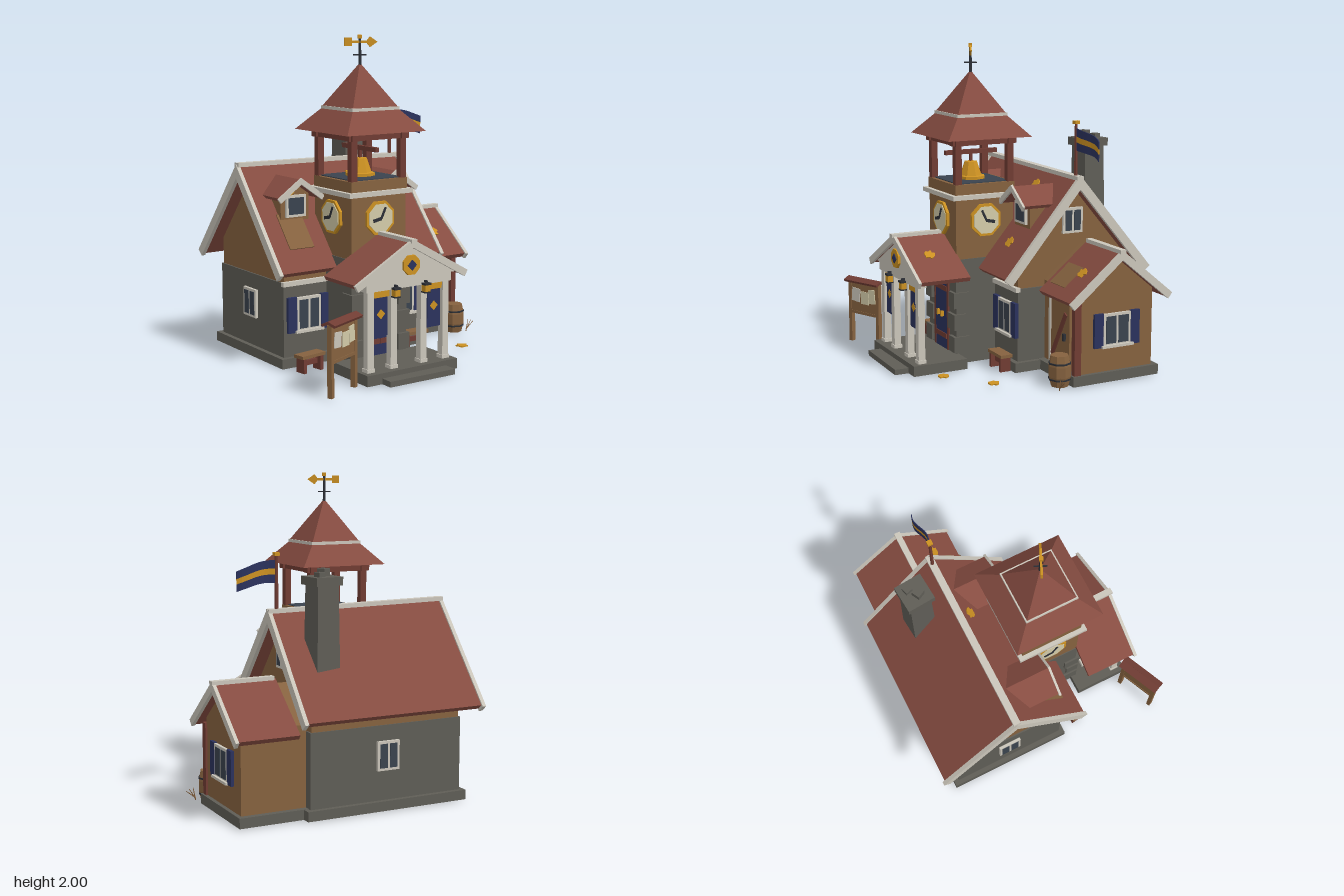
import * as THREE from 'three';

const mat = (name, color) => { const m = new THREE.MeshStandardMaterial({ color }); m.name = name; return m; };

export function createModel() {
  const root = new THREE.Group();
  root.name = 'townHall';
  const M = {
    roof: mat('roofTile', 0x864c41), timber: mat('redTimber', 0x703c33), trim: mat('paleTrim', 0xcbc6bb),
    stone: mat('stone', 0x5f5d56), wood: mat('brownWood', 0x86623f), gold: mat('gold', 0xcc9122),
    navy: mat('navy', 0x2b325d), glass: mat('darkGlass', 0x3a434e), iron: mat('iron', 0x2c2f36), cream: mat('cream', 0xd3cba9),
  };

  // ---- helpers ----
  const add = (name, geo, m, x = 0, y = 0, z = 0, parent = root) => {
    if (geo.index) geo = geo.toNonIndexed();
    geo.computeVertexNormals();
    const mesh = new THREE.Mesh(geo, m);
    mesh.name = name;
    mesh.position.set(x, y, z);
    parent.add(mesh);
    return mesh;
  };
  const group = (name, x = 0, y = 0, z = 0, ry = 0, parent = root) => {
    const g = new THREE.Group();
    g.name = name;
    g.position.set(x, y, z);
    g.rotation.y = ry;
    parent.add(g);
    return g;
  };
  const box = (name, m, w, h, d, x, y, z, parent) => add(name, new THREE.BoxGeometry(w, h, d), m, x, y, z, parent);
  const cyl = (name, m, rt, rb, h, n, x, y, z, parent) => add(name, new THREE.CylinderGeometry(rt, rb, h, n), m, x, y, z, parent);
  const slab = (points, depth) => {
    const g = new THREE.ExtrudeGeometry(new THREE.Shape(points.map(p => new THREE.Vector2(...p))), { depth, bevelEnabled: false });
    return g.translate(0, 0, -depth / 2);
  };
  // Chevron roof section with its ridge along local z
  const chevron = (half, top, eave, p, depth) => {
    const r = top - eave, L = Math.hypot(half, r), ex = half - p * r / L, ey = eave - p * half / L;
    return slab([[-half, eave], [-ex, ey], [0, top - p * L / half], [ex, ey], [half, eave], [0, top]], depth);
  };
  // Square roof tier between two half widths
  const tier = (name, m, top, bottom, y0, y1, x, z) => {
    const g = new THREE.CylinderGeometry(top * Math.SQRT2, bottom * Math.SQRT2, y1 - y0, 4).rotateY(Math.PI / 4);
    return add(name, g, m, x, (y0 + y1) / 2, z);
  };
  const octagon = (r, d) => new THREE.CylinderGeometry(r, r, d, 8).rotateY(Math.PI / 8).rotateX(Math.PI / 2);
  // Framed window: pane count, optional shutters with a sill
  const window_ = (name, x, y, z, ry, w, h, panes, shutters) => {
    const g = group(name, x, y, z, ry), edge = 0.016, pitch = (w - edge) / panes;
    box('frame', M.trim, w, h, 0.026, 0, 0, 0, g);
    for (let i = 0; i < panes; i++) {
      box('pane', M.glass, pitch - edge, h - 2 * edge, 0.006, (i - (panes - 1) / 2) * pitch, 0, 0.013, g);
    }
    if (!shutters) return;
    for (const s of [-1, 1]) box('shutter', M.navy, 0.062, h + 0.01, 0.025, s * (w / 2 + 0.033), 0, 0.002, g);
    box('sill', M.trim, w + 0.03, 0.016, 0.045, 0, -h / 2, 0.006, g);
  };

  // ---- main hall ----
  const RZ = -0.29, HX = -0.185, Q = Math.PI / 2;
  box('hallPlinth', M.stone, 1.09, 0.06, 0.83, HX, 0.03, RZ);
  box('hallStoneWall', M.stone, 1.03, 0.48, 0.766, HX, 0.28, RZ);
  add('hallUpperWall', slab([[-0.376, 0.515], [0.376, 0.515], [0.376, 0.69], [0, 1.14], [-0.376, 0.69]], 1.01), M.wood, HX, 0, RZ).rotation.y = Q;
  box('hallBand', M.trim, 1.05, 0.028, 0.03, HX, 0.515, 0.095);
  add('hallRoof', chevron(0.5, 1.195, 0.605, 0.04, 1.19), M.roof, HX, 0, RZ).rotation.y = Q;
  for (const x of [-0.788, 0.415]) add('hallBargeboard', chevron(0.515, 1.21, 0.6, 0.055, 0.025), M.trim, x, 0, RZ).rotation.y = Q;
  box('hallRidge', M.trim, 1.22, 0.026, 0.045, HX, 1.2, RZ).rotation.z = -0.012;
  for (const x of [-0.53, 0.185]) window_('frontWindow', x, 0.32, 0.1, 0, 0.17, 0.21, 2, true);
  window_('backWindow', HX, 0.335, -0.678, Math.PI, 0.15, 0.18, 2, false);
  window_('leftWindow', -0.705, 0.335, RZ, -Q, 0.15, 0.18, 2, false);
  window_('gableWindow', 0.325, 0.92, RZ, Q, 0.14, 0.16, 2, false);

  // ---- side annex ----
  const AZ = -0.355;
  box('annexPlinth', M.stone, 0.45, 0.062, 0.6, 0.545, 0.031, AZ + 0.005);
  add('annexWall', slab([[-0.258, 0.06], [0.258, 0.06], [0.258, 0.56], [0, 0.77], [-0.258, 0.56]], 0.42), M.wood, 0.535, 0, AZ).rotation.y = Q;
  add('annexRoof', chevron(0.342, 0.8, 0.52, 0.035, 0.4), M.roof, 0.605, 0, AZ).rotation.y = Q;
  add('annexBargeboard', chevron(0.357, 0.81, 0.518, 0.045, 0.022), M.trim, 0.805, 0, AZ).rotation.y = Q;
  box('annexRidge', M.trim, 0.4, 0.024, 0.04, 0.62, 0.803, AZ);
  box('annexCornerPost', M.timber, 0.036, 0.46, 0.045, 0.74, 0.28, -0.085);
  box('annexDoorPost', M.trim, 0.022, 0.43, 0.03, 0.43, 0.275, -0.09);
  box('annexDoor', M.wood, 0.22, 0.41, 0.02, 0.553, 0.265, -0.09);
  box('annexDoorBrace', M.timber, 0.03, 0.33, 0.012, 0.545, 0.27, -0.077).rotation.z = -0.52;
  box('annexDoorHandle', M.iron, 0.018, 0.045, 0.02, 0.612, 0.265, -0.075);
  window_('annexWindow', 0.75, 0.32, AZ, Q, 0.19, 0.2, 2, true);

  // ---- dormers ----
  for (const x of [-0.545, 0.175]) {
    add('dormerBody', slab([[-0.1, 0.8], [0.1, 0.8], [0.1, 1.05], [0, 1.12], [-0.1, 1.05]], 0.22), M.wood, x, 0, -0.13);
    add('dormerRoof', chevron(0.15, 1.135, 1.03, 0.024, 0.29), M.roof, x, 0, -0.095);
    add('dormerBargeboard', chevron(0.165, 1.145, 1.028, 0.032, 0.015), M.trim, x, 0, 0.055);
    window_('dormerWindow', x, 0.967, -0.015, 0, 0.14, 0.135, 1, false);
  }

  // ---- chimney ----
  const chimney = group('chimney', 0.165, 0, -0.495, 0.08);
  const stack = cyl('stack', M.stone, 0.1, 0.115, 0.75, 4, 0, 1.02, 0, chimney);
  stack.rotation.y = Math.PI / 4;
  box('cap', M.stone, 0.18, 0.05, 0.18, 0, 1.385, 0, chimney);
  box('pot', M.stone, 0.055, 0.05, 0.055, -0.02, 1.43, 0.015, chimney).rotation.y = 0.4;
  box('pot', M.stone, 0.045, 0.035, 0.045, 0.035, 1.42, -0.03, chimney).rotation.y = 0.2;

  // ---- clock tower ----
  const TX = -0.185, TZ = 0.16;
  box('towerBase', M.stone, 0.41, 0.67, 0.41, TX, 0.335, TZ);
  box('towerShaft', M.wood, 0.4, 0.4, 0.4, TX, 0.86, TZ);
  box('towerCornice', M.trim, 0.465, 0.028, 0.465, TX, 1.062, TZ);
  box('belfryParapet', M.wood, 0.41, 0.065, 0.41, TX, 1.108, TZ);
  box('belfryFloor', M.glass, 0.36, 0.008, 0.36, TX, 1.142, TZ);
  for (const s of [-1, 1]) {
    [0.125, 0.27, 0.41].forEach((y, i) => {
      const depth = i === 1 ? 0.085 : 0.105;
      box('quoin', M.stone, 0.19 - depth, 0.1, depth, TX + s * (0.122 + depth / 2), y, TZ + 0.225 - depth / 2);
    });
    for (const t of [-1, 1]) box('belfryPost', M.timber, 0.042, 0.28, 0.042, TX + s * 0.18, 1.27, TZ + t * 0.18);
    box('belfryBeam', M.timber, 0.44, 0.045, 0.05, TX, 1.405, TZ + s * 0.18);
    box('belfryBeam', M.timber, 0.05, 0.045, 0.44, TX + s * 0.18, 1.405, TZ);
  }
  tier('towerRoofFlare', M.roof, 0.165, 0.287, 1.425, 1.56, TX, TZ);
  tier('towerRoofBand', M.trim, 0.172, 0.172, 1.553, 1.572, TX, TZ);
  tier('towerRoofSpire', M.roof, 0.002, 0.165, 1.57, 1.83, TX, TZ);
  box('bellBeam', M.timber, 0.026, 0.028, 0.36, TX, 1.318, TZ);
  box('bellHanger', M.timber, 0.018, 0.06, 0.018, TX, 1.28, TZ);
  const bellProfile = [[0, 0], [0.092, 0], [0.092, 0.018], [0.072, 0.022], [0.042, 0.108], [0, 0.112]].map(p => new THREE.Vector2(...p));
  add('bell', new THREE.LatheGeometry(bellProfile, 8), M.gold, TX, 1.147, TZ);
  for (const [x, z, ry, s] of [[0, 0.2, 0, 1], [0.2, 0, Q, -1], [-0.2, 0, -Q, 1]]) {
    const clock = group('clock', TX + x, 0.91, TZ + z, ry);
    add('rim', octagon(0.109, 0.036), M.gold, 0, 0, 0, clock);
    add('face', octagon(0.092, 0.006), M.cream, 0, 0, 0.019, clock);
    box('minuteHand', M.iron, 0.014, 0.075, 0.006, s * 0.016, 0.03, 0.024, clock).rotation.z = -s * 0.45;
    box('hourHand', M.iron, 0.06, 0.02, 0.006, -s * 0.028, -0.008, 0.024, clock).rotation.z = s * 0.2;
  }

  // ---- weather vane ----
  const vane = group('weatherVane', TX, 0, TZ, -0.43);
  cyl('pole', M.iron, 0.008, 0.01, 0.19, 6, 0, 1.895, 0, vane);
  box('crossBar', M.iron, 0.08, 0.008, 0.008, 0, 1.88, 0, vane);
  box('crossBar', M.iron, 0.008, 0.008, 0.08, 0, 1.88, 0, vane);
  box('arrowShaft', M.gold, 0.16, 0.013, 0.012, 0, 1.958, 0, vane);
  box('arrowTail', M.gold, 0.045, 0.05, 0.014, -0.073, 1.958, 0, vane);
  add('arrowHead', slab([[0, -0.032], [0.045, 0], [0, 0.032], [-0.025, 0]], 0.014), M.gold, 0.062, 1.958, 0, vane);
  box('finial', M.gold, 0.024, 0.022, 0.024, 0, 1.989, 0, vane);

  // ---- portico ----
  box('porchFloor', M.stone, 0.66, 0.065, 0.36, TX, 0.0325, 0.53);
  box('porchStep', M.stone, 0.47, 0.034, 0.14, -0.175, 0.017, 0.725).rotation.y = -0.02;
  for (const x of [-0.275, -0.11, 0.11, 0.275]) {
    box('column', M.trim, 0.044, 0.48, 0.044, TX + x, 0.305, 0.642);
    box('columnBase', M.trim, 0.055, 0.022, 0.055, TX + x, 0.075, 0.642);
  }
  box('entablature', M.trim, 0.62, 0.065, 0.06, TX, 0.575, 0.642);
  for (const s of [-1, 1]) box('sideBeam', M.trim, 0.045, 0.04, 0.3, TX + s * 0.285, 0.583, 0.5);
  add('pediment', slab([[-0.36, 0.595], [0.36, 0.595], [0, 0.795]], 0.05), M.trim, TX, 0, 0.65);
  add('porticoRoof', chevron(0.395, 0.815, 0.6, 0.03, 0.34), M.roof, TX, 0, 0.525);
  add('porticoBargeboard', chevron(0.41, 0.828, 0.6, 0.042, 0.02), M.trim, TX, 0, 0.695);
  box('porticoRidge', M.trim, 0.04, 0.022, 0.36, TX, 0.82, 0.535);
  add('emblemPlate', octagon(0.062, 0.02), M.gold, TX, 0.675, 0.682);
  box('emblemDiamond', M.navy, 0.045, 0.045, 0.008, TX, 0.675, 0.694).rotation.z = Math.PI / 4;
  for (const s of [-1, 1]) {
    const banner = group('banner', TX + s * 0.195, 0, 0.645);
    box('cloth', M.navy, 0.096, 0.28, 0.012, 0, 0.41, 0, banner);
    box('bar', M.gold, 0.12, 0.045, 0.018, 0, 0.523, 0, banner);
    box('diamond', M.gold, 0.042, 0.042, 0.016, 0, 0.4, 0, banner).rotation.z = Math.PI / 4;
    const lantern = group('lantern', TX + s * 0.11, 0.525, 0.685);
    box('bracket', M.iron, 0.012, 0.012, 0.05, 0, 0.038, -0.015, lantern);
    box('light', M.gold, 0.038, 0.042, 0.036, 0, -0.003, 0, lantern);
    box('hood', M.iron, 0.046, 0.012, 0.044, 0, 0.024, 0, lantern);
    box('base', M.iron, 0.042, 0.008, 0.04, 0, -0.026, 0, lantern);
    // Double front door
    box('doorLeaf', M.navy, 0.083, 0.43, 0.03, TX + s * 0.0415, 0.28, 0.36);
    box('doorJamb', M.timber, 0.022, 0.45, 0.03, TX + s * 0.095, 0.29, 0.361);
    for (const y of [0.15, 0.46]) box('doorBand', M.timber, 0.08, 0.032, 0.008, TX + s * 0.0415, y, 0.376);
    box('doorHandle', M.gold, 0.016, 0.035, 0.02, TX + s * 0.03, 0.29, 0.384);
  }
  box('doorLintel', M.timber, 0.21, 0.025, 0.03, TX, 0.51, 0.361);

  // ---- flag ----
  const flag = group('flag', 0.365, 0, RZ);
  cyl('pole', M.timber, 0.01, 0.012, 0.36, 6, 0, 1.35, 0, flag);
  box('poleCap', M.gold, 0.032, 0.02, 0.032, 0, 1.533, 0, flag);
  [M.navy, M.gold, M.navy].forEach((m, i) => {
    const h = i === 1 ? 0.036 : 0.05;
    const g = new THREE.BoxGeometry(0.25, h, 0.006, 8, 1, 1).translate(0.125, [0.043, 0, -0.043][i], 0);
    const p = g.attributes.position;
    for (let k = 0; k < p.count; k++) {
      const t = p.getX(k) / 0.25;
      p.setZ(k, p.getZ(k) + 0.016 * Math.sin(t * 6));
      p.setY(k, p.getY(k) * (1 - 0.12 * t) - 0.05 * t * t);
    }
    add('stripe', g, m, 0.01, 1.43, 0, flag);
  });

  // ---- notice board ----
  const board = group('noticeBoard', -0.685, 0, 0.705, 0.42);
  for (const s of [-1, 1]) box('post', M.wood, 0.026, 0.42, 0.03, s * 0.125, 0.21, 0, board);
  box('panel', M.wood, 0.23, 0.2, 0.022, 0, 0.3, 0, board);
  box('rail', M.wood, 0.25, 0.018, 0.03, 0, 0.205, 0, board);
  for (const s of [-1, 1]) box('roofSlope', M.timber, 0.3, 0.016, 0.05, 0, 0.427, s * 0.02, board).rotation.x = s * 0.4;
  [[-0.07, 0.325, 0.072, 0.09, M.trim], [0.012, 0.312, 0.07, 0.085, M.cream], [0.078, 0.33, 0.055, 0.095, M.cream]].forEach(([x, y, w, h, m], i) => {
    box('notice', m, w, h, 0.005, x, y, 0.013 + i * 0.001, board).rotation.z = (i - 1) * 0.1;
  });

  // ---- benches, barrel and twigs ----
  for (const [x, z, ry] of [[0.23, 0.165, 0], [-0.605, 0.235, 0.15]]) {
    const bench = group('bench', x, 0, z, ry);
    box('seat', M.wood, 0.18, 0.02, 0.08, 0, 0.1, 0, bench);
    for (const s of [-1, 1]) box('leg', M.timber, 0.022, 0.092, 0.07, s * 0.065, 0.046, 0, bench);
    box('stretcher', M.timber, 0.13, 0.03, 0.018, 0, 0.055, 0, bench);
  }
  const staves = [[0, 0], [0.054, 0], [0.069, 0.06], [0.069, 0.125], [0.056, 0.19], [0, 0.19]].map(p => new THREE.Vector2(...p));
  add('barrel', new THREE.LatheGeometry(staves, 8), M.wood, 0.692, 0, 0.002);
  for (const y of [0.045, 0.143]) cyl('barrelHoop', M.iron, 0.07, 0.07, 0.01, 8, 0.692, y, 0.002);
  for (let i = 0; i < 3; i++) cyl('twig', M.wood, 0.002, 0.004, 0.08, 4, 0.775 + i * 0.012, 0.035, 0.045).rotation.z = -0.2 - i * 0.35;

  // ---- roof patches and leaves: [x, y, z, tilt x, tilt z] ----
  const lay = (mesh, rx, rz) => { mesh.rotation.set(rx, 0, rz); };
  const hallY = z => 1.2 - 1.18 * (z - RZ), annexY = z => 0.805 - 0.82 * (z - AZ);
  const hallTilt = Math.atan(1.18), annexTilt = Math.atan(0.82);
  lay(box('hallRoofPatch', M.wood, 0.17, 0.01, 0.25, -0.575, hallY(0.03) - 0.002, 0.03), hallTilt, 0);
  lay(box('annexRoofPatch', M.wood, 0.17, 0.01, 0.17, 0.525, annexY(-0.14) - 0.003, -0.14), annexTilt, 0);
  const leafPoints = Array.from({ length: 14 }, (_, i) => {
    const a = i / 14 * Math.PI * 2, r = (i % 2 ? 0.03 : 0.038) + 0.005 * Math.sin(i * 2.3);
    return [r * Math.cos(a), r * Math.sin(a)];
  });
  for (const [x, y, z, rx, rz] of [
    [0.165, hallY(0.065) + 0.004, 0.065, hallTilt, 0], [0, hallY(-0.21) + 0.004, -0.21, hallTilt, 0],
    [0.65, annexY(-0.175) + 0.004, -0.175, annexTilt, 0], [0, 0.718, 0.535, 0, -0.5],
    [-0.59, 1.05, -0.016, Q, 0], [0.49, 0.006, 0.34, 0, 0], [0.225, 0.006, 0.55, 0, 0],
  ]) lay(add('leafCluster', slab(leafPoints, 0.008).rotateX(-Q), M.gold, x, y, z), rx, rz);

  return root;
}
